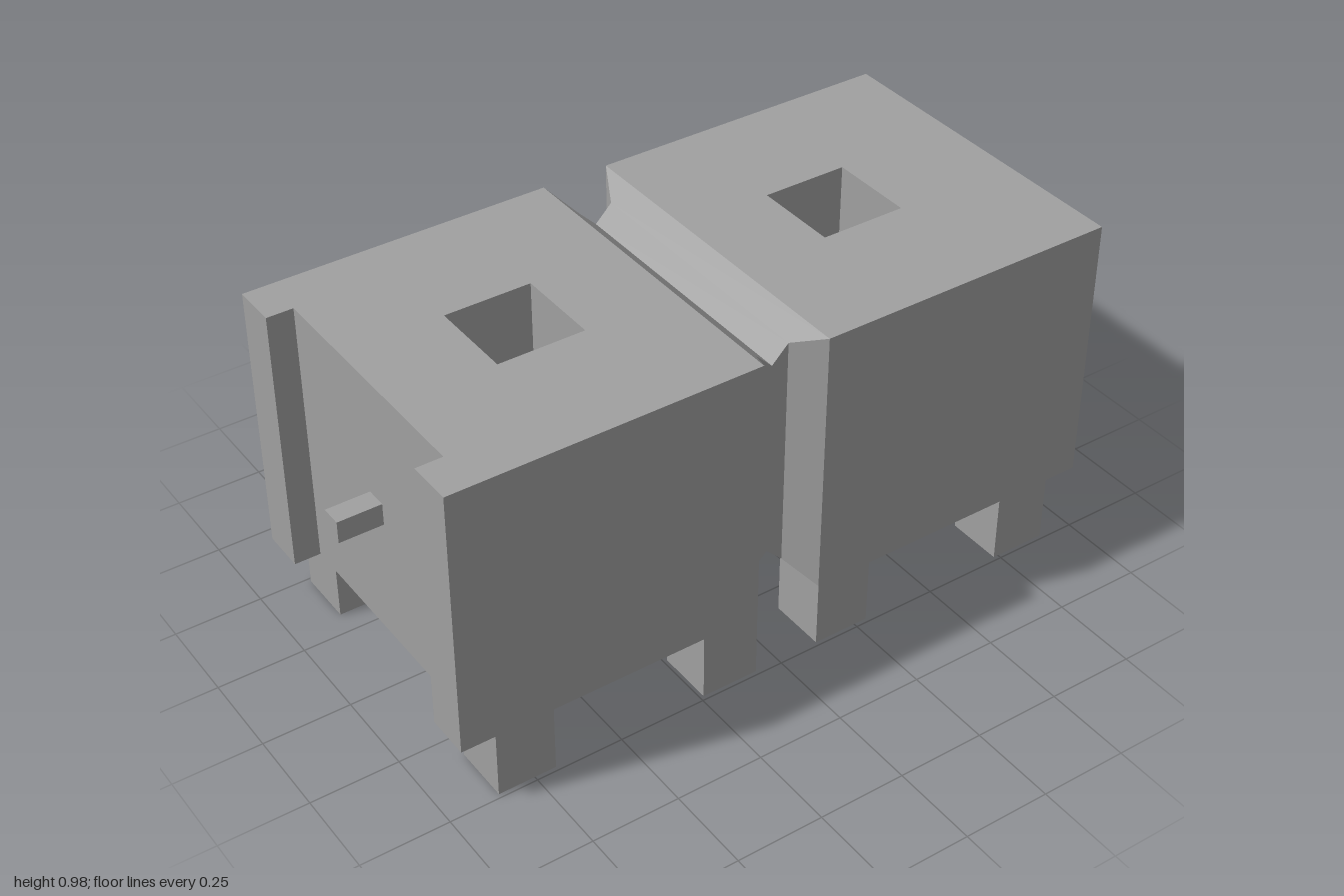
import * as THREE from 'three';

const U = 0.04875;            // grid module
const MID = 0.025;            // centre of the waist groove
const BOTTOM = 4 * U, TOP = 20 * U, HALF = 10 * U;

export function createModel() {
  const model = new THREE.Group();
  model.name = 'twinBlock';
  const grey = new THREE.MeshStandardMaterial({ color: 0xa0a0a0 });
  grey.name = 'grey';

  const add = (name, geometry, x = 0, y = 0, z = 0) => {
    const mesh = new THREE.Mesh(geometry, grey);
    mesh.name = name;
    mesh.position.set(x, y, z);
    model.add(mesh);
  };

  // Half block: plan outline with a square shaft, raised to full height
  const block = (name, outline, holeX) => {
    const shape = new THREE.Shape(outline.map(([x, z]) => new THREE.Vector2(x, z)));
    const h = 0.124;
    shape.holes.push(new THREE.Path([[-h, -h], [-h, h], [h, h], [h, -h]]
      .map(([x, z]) => new THREE.Vector2(holeX + x, z))));
    const geometry = new THREE.ExtrudeGeometry(shape, { depth: TOP - BOTTOM, bevelEnabled: false });
    geometry.rotateX(-Math.PI / 2);
    add(name, geometry, 0, BOTTOM, 0);
  };
  const inner = 2 * U, recessX = -0.875, recessZ = 0.36;
  block('rightBlock', [
    [-0.95, -HALF], [MID - inner, -HALF], [MID - inner, HALF], [-0.95, HALF],
    [-0.95, recessZ], [recessX, recessZ], [recessX, -recessZ], [-0.95, -recessZ],
  ], -0.4645);
  block('leftBlock', [
    [MID + inner, -HALF], [1, -HALF], [1, HALF], [MID + inner, HALF],
  ], 0.51);

  // Waist: rectangular sections, V-cut above and below, flat-bottomed at the sides
  const sections = [-2, -1, 0, 1, 2].map((k) => {
    const cut = (2 - Math.abs(k)) * U;
    const w = Math.abs(k) === 2 ? HALF : 8 * U;
    const x = MID + k * U, lo = BOTTOM + cut, hi = TOP - cut;
    return [[x, lo, w], [x, lo, -w], [x, hi, -w], [x, hi, w]];
  });
  const positions = [];
  for (let s = 0; s < sections.length - 1; s++) {
    for (let i = 0; i < 4; i++) {
      const j = (i + 1) % 4;
      const a = sections[s][i], b = sections[s][j];
      const c = sections[s + 1][j], d = sections[s + 1][i];
      positions.push(...a, ...b, ...c, ...a, ...c, ...d);
    }
  }
  const waist = new THREE.BufferGeometry();
  waist.setAttribute('position', new THREE.Float32BufferAttribute(positions, 3));
  waist.computeVertexNormals();
  add('waist', waist);

  // Feet: four under each block
  const foot = 0.166;
  for (const x of [-0.771, -0.156, 0.206, 0.819]) {
    for (const side of [-1, 1]) {
      add('foot', new THREE.BoxGeometry(foot, BOTTOM, foot), x, BOTTOM / 2, side * (HALF - foot / 2));
    }
  }

  // Peg in the end recess
  add('peg', new THREE.BoxGeometry(0.125, 0.064, 0.06), -0.9375, 0.588, 0);

  return model;
}
